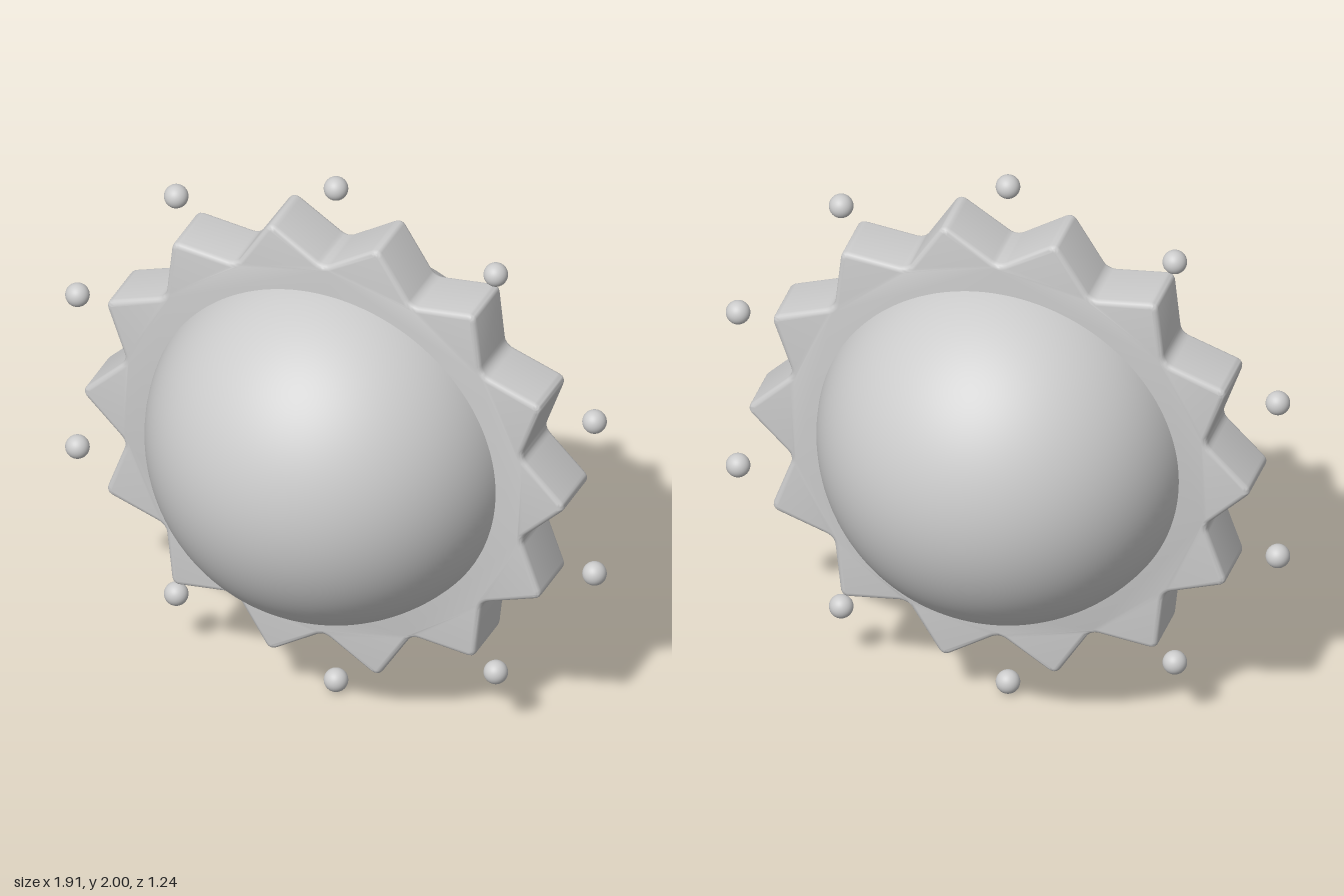
import * as THREE from 'three';
import { toCreasedNormals } from 'three/addons/utils/BufferGeometryUtils.js';

const CENTRE_Y = 1.002;
const POINTS = 14;
const BALLS = 10;

// Star outline whose tips and valleys are softened with short curves
function starShape(outer, inner, tipCut, valleyCut) {
  const corners = [];
  for (let i = 0; i < POINTS * 2; i++) {
    const a = (i * Math.PI) / POINTS;
    const r = i % 2 ? inner : outer;
    corners.push(new THREE.Vector2(Math.cos(a) * r, Math.sin(a) * r));
  }
  const n = corners.length;
  const shape = new THREE.Shape();
  corners.forEach((c, i) => {
    const cut = i % 2 ? valleyCut : tipCut;
    const towards = (p) => p.clone().sub(c).setLength(cut).add(c);
    const start = towards(corners[(i + n - 1) % n]);
    const end = towards(corners[(i + 1) % n]);
    if (i === 0) shape.moveTo(start.x, start.y);
    else shape.lineTo(start.x, start.y);
    shape.quadraticCurveTo(c.x, c.y, end.x, end.y);
  });
  shape.closePath();
  return shape;
}

export function createModel() {
  const model = new THREE.Group();
  const material = new THREE.MeshStandardMaterial({ color: 0xcccccc });

  const add = (name, geometry, x, y) => {
    const mesh = new THREE.Mesh(geometry, material);
    mesh.name = name;
    mesh.position.set(x, CENTRE_Y + y, 0);
    model.add(mesh);
  };

  // Central globe
  add('globe', new THREE.SphereGeometry(0.62, 96, 64), 0, 0);

  // Toothed ring of rays with rounded rims
  const half = 0.107;
  const bevel = 0.018;
  const rays = new THREE.ExtrudeGeometry(starShape(0.857, 0.714, 0.03, 0.03), {
    depth: 2 * (half - bevel),
    bevelThickness: bevel,
    bevelSize: bevel,
    bevelOffset: -bevel,
    bevelSegments: 4,
    curveSegments: 6,
  });
  rays.translate(0, 0, -(half - bevel));
  add('rays', toCreasedNormals(rays, 0.7), 0, 0);

  // Small balls circling the rays
  const ball = new THREE.SphereGeometry(0.04, 32, 20);
  for (let i = 0; i < BALLS; i++) {
    const a = Math.PI / 2 + (i * 2 * Math.PI) / BALLS;
    add(`ball${i + 1}`, ball, Math.cos(a) * 0.96, Math.sin(a) * 0.96);
  }

  return model;
}
